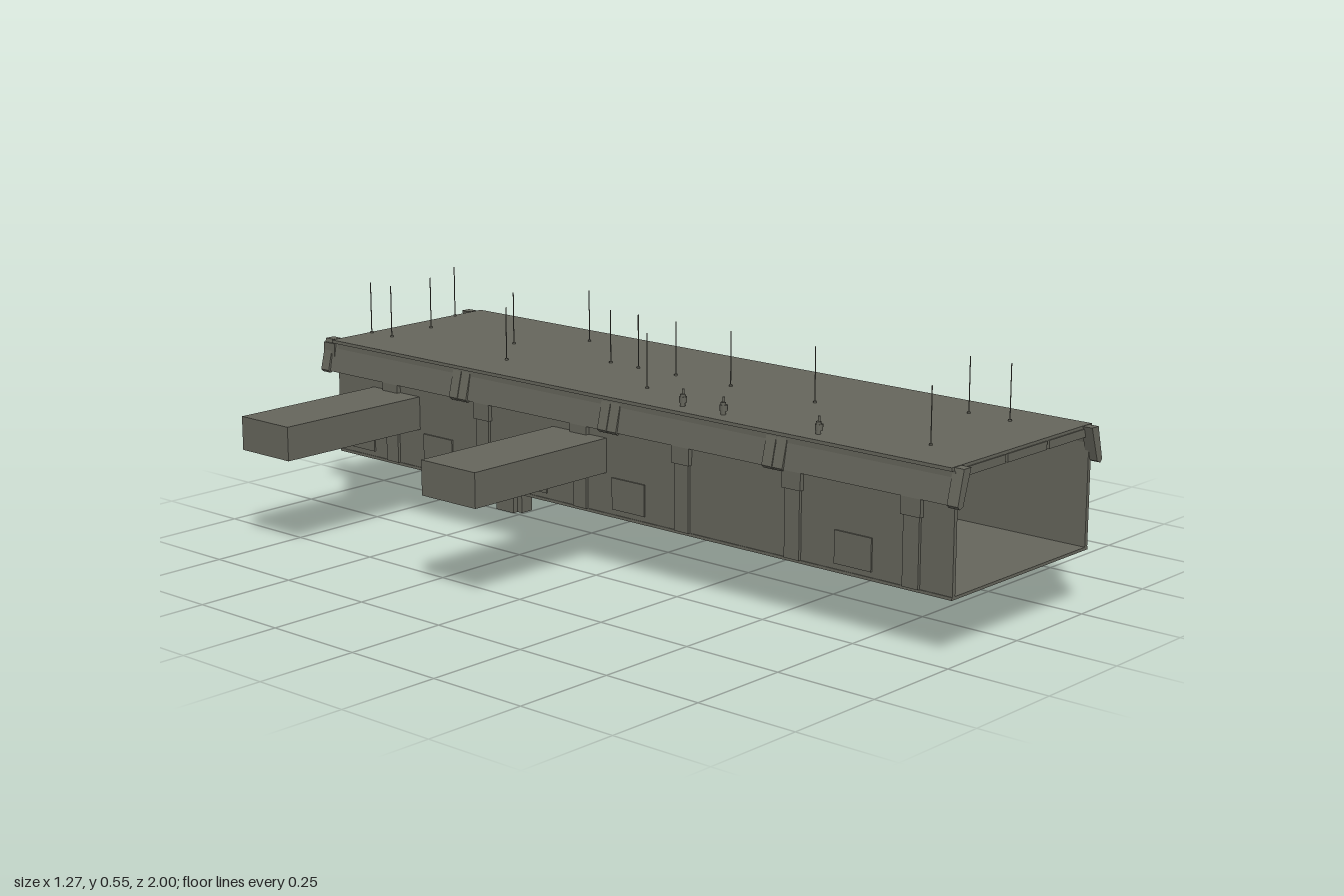
import * as THREE from 'three';

export function createModel() {
  const root = new THREE.Group();
  const grey = new THREE.MeshStandardMaterial({ color: 0x66665c });
  grey.name = 'concreteGrey';
  const CX = 0.04; // centre line of the hall

  function add(name, geo, x = 0, y = 0, z = 0) {
    const m = new THREE.Mesh(geo, grey);
    m.name = name;
    m.position.set(x, y, z);
    root.add(m);
    return m;
  }
  // box given by its minimum and maximum on each axis
  const box = (name, x0, x1, y0, y1, z0, z1) =>
    add(name, new THREE.BoxGeometry(x1 - x0, y1 - y0, z1 - z0), (x0 + x1) / 2, (y0 + y1) / 2, (z0 + z1) / 2);
  const pipe = (name, r, x, z, y0, y1) =>
    add(name, new THREE.CylinderGeometry(r, r, y1 - y0, 8), x, (y0 + y1) / 2, z);

  // hall shell, open at the front
  box('floor', -0.215, 0.295, 0.135, 0.142, -0.92, 0.98);
  box('roof', -0.22, 0.3, 0.412, 0.42, -0.935, 0.975);
  box('backWall', -0.21, 0.29, 0.142, 0.412, -0.92, -0.91);
  box('leftWall', 0.283, 0.293, 0.142, 0.412, -0.92, 0.98);
  box('rightWall', -0.213, -0.203, 0.142, 0.412, -0.92, 0.98);

  // sloping eave panels, wall columns and bracket ribs on both sides
  const eaveShape = new THREE.Shape([
    [0.235, 0.414], [0.25, 0.414], [0.264, 0.34], [0.252, 0.34],
  ].map(p => new THREE.Vector2(...p)));
  const ribShape = new THREE.Shape([
    [0.225, 0.419], [0.25, 0.419], [0.269, 0.342], [0.262, 0.335], [0.25, 0.34],
  ].map(p => new THREE.Vector2(...p)));
  function sidePiece(name, shape, side, z0, z1) {
    const geo = new THREE.ExtrudeGeometry(shape, { depth: z1 - z0, bevelEnabled: false });
    if (side > 0) add(name, geo, CX, 0, z0);
    else add(name, geo, CX, 0, z1).rotation.y = Math.PI;
  }
  for (const s of [1, -1]) {
    for (const [a, b] of [[0.52, 0.975], [0.03, 0.49], [-0.46, 0], [-0.94, -0.49]]) {
      sidePiece('eavePanel', eaveShape, s, a, b);
    }
    for (const z of [0.985, 0.52, 0.49, 0.03, 0, -0.46, -0.49, -0.955]) {
      sidePiece('eaveBracket', ribShape, s, z - 0.014, z + 0.014);
    }
    for (const z of [0.875, 0.555, 0.235, -0.08, -0.4, -0.72]) {
      const x = CX + s * 0.255;
      box('wallColumn', x - 0.005, x + 0.005, 0.142, 0.34, z - 0.021, z + 0.021);
      box('columnHead', x - 0.009, x + 0.009, 0.3, 0.34, z - 0.026, z + 0.026);
    }
    for (const z of [0.72, 0.07, -0.24, -0.56, -0.84]) {
      const x = CX + s * 0.254;
      box('wallPanel', x - 0.003, x + 0.003, 0.155, 0.23, z - 0.05, z + 0.05);
    }
    // corner end brackets
    const cx = CX + s * 0.245;
    box('rearCornerBracket', cx - 0.012, cx + 0.012, 0.345, 0.41, -0.97, -0.93);
    // box corridors leading out of the hall
    for (const [z0, z1] of [[-0.79, -0.625], [-0.17, 0]]) {
      if (s > 0) box('corridor', 0.29, 0.633, 0.238, 0.32, z0, z1);
      else box('corridor', -0.633, -0.21, 0.238, 0.32, z0, z1);
    }
  }
  box('entranceCorridor', 0.29, 0.56, 0.138, 0.254, 0.265, 0.38);

  // panels along the front and rear roof edges
  for (const x of [-0.105, 0.05, 0.205]) {
    for (const z of [0.972, -0.93]) {
      box('roofEdgePanel', x - 0.073, x + 0.073, 0.394, 0.413, z - 0.006, z + 0.006);
    }
  }

  // thin roof rods, flat to the front
  const rods = [
    [-0.095, [0.83, 0.02, -0.44, -0.85, -0.925]],
    [0.05, [0.4, 0.15, -0.02, -0.14, -0.23, -0.56, -0.86]],
    [0.197, [0.83, 0.72, -0.44, -0.925]],
  ];
  for (const [x, zs] of rods) {
    for (const z of zs) {
      box('roofRod', x - 0.0013, x + 0.0013, 0.42, 0.55, z - 0.0005, z + 0.0005);
      pipe('rodFoot', 0.004, x, z, 0.419, 0.424);
    }
    box('rearRod', x - 0.0025, x + 0.0025, 0.398, 0.401, -1, -0.915);
  }

  // roof vents on the right side
  for (const z of [0.59, 0.32, 0.2]) {
    pipe('ventPipe', 0.006, -0.175, z, 0.15, 0.448);
    pipe('ventCap', 0.009, -0.173, z, 0.428, 0.442);
    pipe('ventTip', 0.003, -0.173, z, 0.44, 0.46);
  }

  // stepped equipment towers that reach the ground
  function tower(x, top) {
    box('towerFoot', x - 0.033, x + 0.033, 0, 0.085, -0.58, -0.52);
    box('towerShaft', x - 0.029, x + 0.029, 0.085, 0.23, -0.578, -0.525);
    box('towerHead', x - 0.032, x + 0.032, 0.23, top, -0.58, -0.52);
    box('towerStep', x - 0.018, x + 0.018, 0, 0.05, -0.52, -0.505);
    box('towerBand', x - 0.035, x + 0.035, 0.083, 0.09, -0.582, -0.518);
    box('towerPanel', x - 0.02, x + 0.02, 0.15, 0.22, -0.527, -0.521);
  }
  tower(0.033, 0.34);
  tower(0.352, 0.335);
  pipe('towerNeck', 0.014, 0.352, -0.55, 0.335, 0.37);
  pipe('towerCap', 0.009, 0.352, -0.55, 0.37, 0.383);
  pipe('towerLamp', 0.015, 0.352, -0.505, 0.29, 0.33);
  box('towerBracket', 0.29, 0.325, 0.29, 0.31, -0.57, -0.54);

  // equipment inside the hall
  box('workBench', -0.1, 0.28, 0.142, 0.235, -0.9, -0.82);
  for (const z of [0.75, 0.45, 0.1, -0.3]) {
    box('rightCabinet', -0.203, -0.165, 0.142, 0.24, z - 0.05, z + 0.05);
    pipe('rightStandpipe', 0.007, -0.14, z, 0.142, 0.36);
    box('rightPipeBox', -0.18, -0.13, 0.33, 0.37, z - 0.02, z + 0.02);
  }
  for (const z of [0.6, 0.15, -0.35]) {
    box('leftMachine', 0.225, 0.283, 0.142, 0.26, z - 0.03, z + 0.03);
    pipe('leftMachinePipe', 0.008, 0.245, z, 0.26, 0.34);
    pipe('leftMachinePipe', 0.006, 0.27, z, 0.26, 0.3);
  }
  box('columnMachine', 0.13, 0.185, 0.142, 0.23, -0.5, -0.44);
  for (const x of [0.145, 0.17]) pipe('columnMachinePipe', 0.008, x, -0.47, 0.23, 0.412);
  box('hangingUnit', 0.09, 0.135, 0.275, 0.34, -0.5, -0.45);
  pipe('hangingUnitPipe', 0.005, 0.112, -0.475, 0.34, 0.412);

  return root;
}
